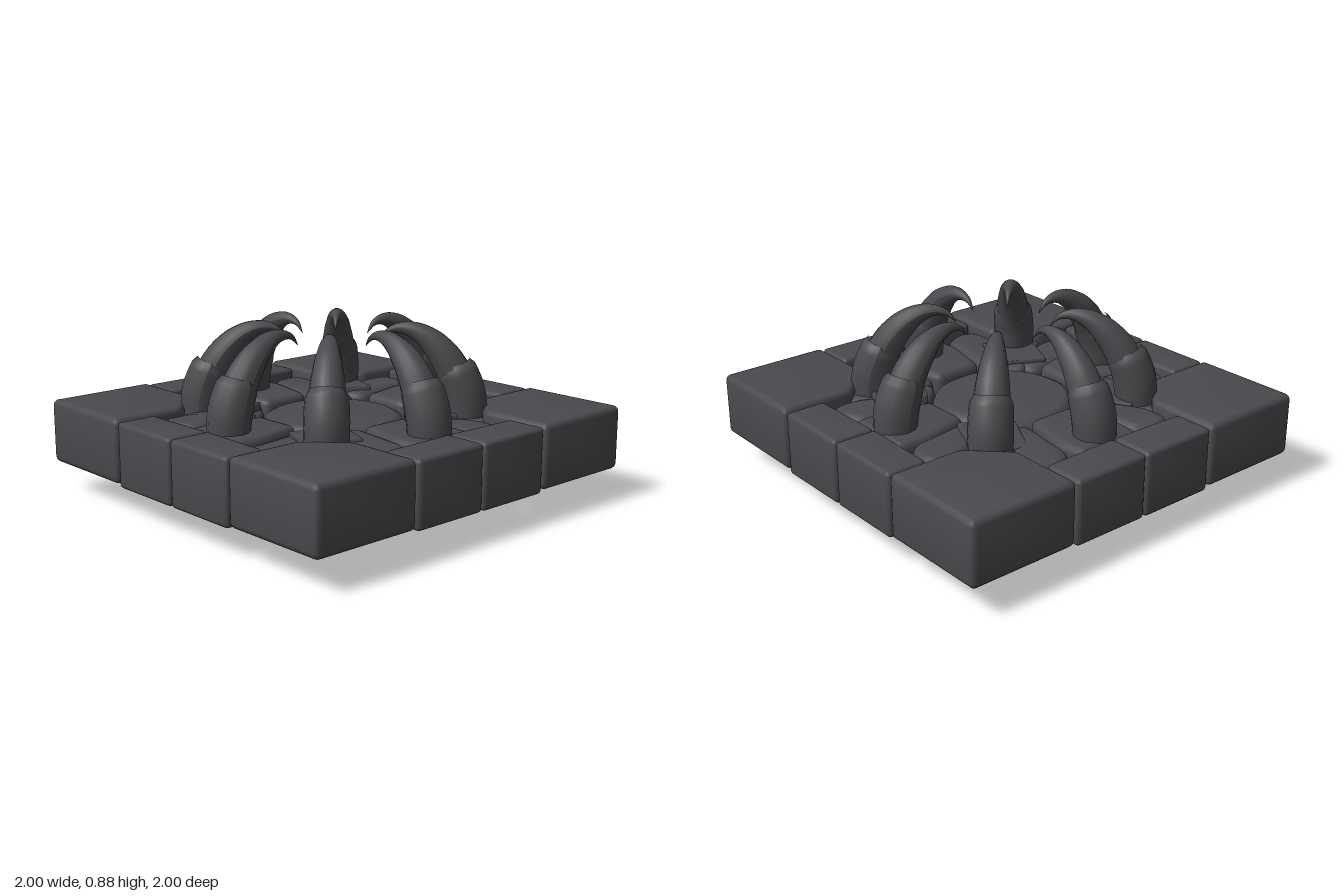
import * as THREE from 'three';
import { toCreasedNormals } from 'three/addons/utils/BufferGeometryUtils.js';

const stoneMat = new THREE.MeshStandardMaterial({ color: 0x4a494d });
stoneMat.name = 'dark stone';

// Small seeded random, -1 to 1
let seed = 7;
function wobble() {
  seed = (seed * 16807) % 2147483647;
  return (seed / 2147483647) * 2 - 1;
}

function add(parent, geometry, name) {
  const mesh = new THREE.Mesh(geometry, stoneMat);
  mesh.name = name;
  parent.add(mesh);
  return mesh;
}

// Slab with a rounded outline [x, z] between heights y0 and y1
function slab(points, y0, y1, bevel = 0.03, round = 0.04) {
  let pts = points.map(([x, z]) => new THREE.Vector2(x, -z));
  if (THREE.ShapeUtils.isClockWise(pts)) pts = pts.reverse();
  const shape = new THREE.Shape();
  pts.forEach((p, i) => {
    const prev = pts[(i + pts.length - 1) % pts.length];
    const next = pts[(i + 1) % pts.length];
    const a = p.clone().add(prev.clone().sub(p).setLength(round));
    const b = p.clone().add(next.clone().sub(p).setLength(round));
    if (i === 0) shape.moveTo(a.x, a.y);
    else shape.lineTo(a.x, a.y);
    shape.quadraticCurveTo(p.x, p.y, b.x, b.y);
  });
  shape.closePath();
  const g = new THREE.ExtrudeGeometry(shape, {
    depth: y1 - y0 - 2 * bevel, bevelThickness: bevel, bevelSize: bevel,
    bevelOffset: -bevel, bevelSegments: 3, curveSegments: 4,
  });
  g.translate(0, 0, y0 + bevel);
  g.rotateX(-Math.PI / 2);
  return toCreasedNormals(g, 0.7);
}

// Tube along [z, y] points whose radius follows a list of values
function taperedTube(path, radii, segments = 24, sides = 14) {
  const curve = new THREE.CatmullRomCurve3(path.map(([z, y]) => new THREE.Vector3(0, y, z)));
  const g = new THREE.TubeGeometry(curve, segments, 1, sides);
  const pos = g.attributes.position;
  const p = new THREE.Vector3();
  for (let i = 0; i < pos.count; i++) {
    const u = Math.floor(i / (sides + 1)) / segments;
    const k = Math.min(u * (radii.length - 1), radii.length - 1.0001);
    const r = THREE.MathUtils.lerp(radii[Math.floor(k)], radii[Math.floor(k) + 1], k % 1);
    const c = curve.getPointAt(u);
    p.fromBufferAttribute(pos, i).sub(c).multiplyScalar(r).add(c);
    pos.setXYZ(i, p.x, p.y, p.z);
  }
  g.computeVertexNormals();
  return g;
}

// Squarish ellipsoid boulder
function boulder(rx, ry, rz) {
  const g = new THREE.SphereGeometry(1, 20, 14);
  const pos = g.attributes.position;
  const puff = (v) => Math.sign(v) * Math.pow(Math.abs(v), 0.85);
  for (let i = 0; i < pos.count; i++) {
    pos.setXYZ(i, puff(pos.getX(i)) * rx, puff(pos.getY(i)) * ry, puff(pos.getZ(i)) * rz);
  }
  g.computeVertexNormals();
  return g;
}

export function createModel() {
  const model = new THREE.Group();
  model.name = 'clawedStoneTrap';

  // Round centre stone
  const disc = [[0, 0.075], [0.2, 0.08], [0.3, 0.09], [0.35, 0.12], [0.37, 0.2],
    [0.36, 0.36], [0.34, 0.41], [0.3, 0.43], [0, 0.44]];
  add(model, new THREE.LatheGeometry(disc.map(([r, y]) => new THREE.Vector2(r, y)), 32), 'centreStone');

  const corner = [[0.425, 0.998], [0.425, 0.61], [0.61, 0.425], [0.998, 0.425], [0.998, 0.998]];
  const edge = [[0.003, 0.775], [0.415, 0.785], [0.415, 0.997], [0.003, 0.997]];
  const wedge = [[-0.13, 0.35], [0.13, 0.35], [0.19, 0.6], [0.18, 0.77], [-0.18, 0.77], [-0.19, 0.6]];
  const flank = [[0.15, 0.36], [0.25, 0.29], [0.42, 0.59], [0.415, 0.74], [0.31, 0.77], [0.2, 0.71]];
  const diagonal = [[-0.08, 0.35], [0.08, 0.35], [0.14, 0.76], [-0.14, 0.76]];
  const shard = [[-0.15, -0.13], [0.13, -0.16], [0.16, 0.1], [-0.1, 0.14]];

  for (let q = 0; q < 4; q++) {
    const side = new THREE.Group();
    side.name = 'side' + (q + 1);
    side.rotation.y = q * Math.PI / 2;
    model.add(side);

    // Outer frame
    add(side, slab(corner, 0.16, 0.482, 0.03, 0.03), 'cornerBlock');
    for (const s of [1, -1]) {
      add(side, slab(edge.map(([x, z]) => [s * x, z]), 0.15, 0.472, 0.02, 0.025), 'edgeBlock');
      // Inner ring stones beside each wedge
      const top = 0.44 + 0.012 * wobble();
      add(side, slab(flank.map(([x, z]) => [s * x, z]), 0.145, top, 0.04, 0.05), 'flankStone');
    }
    add(side, slab(wedge, 0.14, 0.45, 0.035, 0.04), 'wedgeStone');
    add(side, boulder(0.255, 0.16, 0.18), 'undersideBoulder').position.set(0, 0.168, 0.625);

    // Diagonal stone with a tilted broken shard
    const diag = new THREE.Group();
    diag.name = 'diagonalStones';
    diag.rotation.y = Math.PI / 4;
    side.add(diag);
    add(diag, slab(diagonal, 0.15, 0.43, 0.03, 0.04), 'diagonalStone');
    const chip = add(diag, slab(shard, -0.03, 0.03, 0.008, 0.012), 'brokenShard');
    chip.position.set(0.03 * wobble(), 0.425, 0.54);
    chip.rotation.set(0.1 * wobble(), 0.5 * wobble(), 0.1 * wobble());
  }

  // Ring of eight curved claws, each in a thick cuff
  const clawPath = [[0.65, 0.42], [0.61, 0.6], [0.53, 0.74], [0.43, 0.83], [0.34, 0.86], [0.27, 0.845], [0.23, 0.8]];
  const clawGeo = taperedTube(clawPath, [0.095, 0.092, 0.088, 0.08, 0.066, 0.045, 0.022, 0.001], 28);
  const cuffGeo = taperedTube([[0.66, 0.4], [0.645, 0.54], [0.592, 0.685]],
    [0.1, 0.103, 0.105, 0.106, 0.106, 0.105, 0.103, 0.1, 0.08], 16);
  for (let i = 0; i < 8; i++) {
    const claw = new THREE.Group();
    claw.name = 'claw' + (i + 1);
    claw.rotation.y = i * Math.PI / 4;
    add(claw, clawGeo, 'clawTalon');
    add(claw, cuffGeo, 'clawCuff');
    model.add(claw);
  }
  return model;
}
